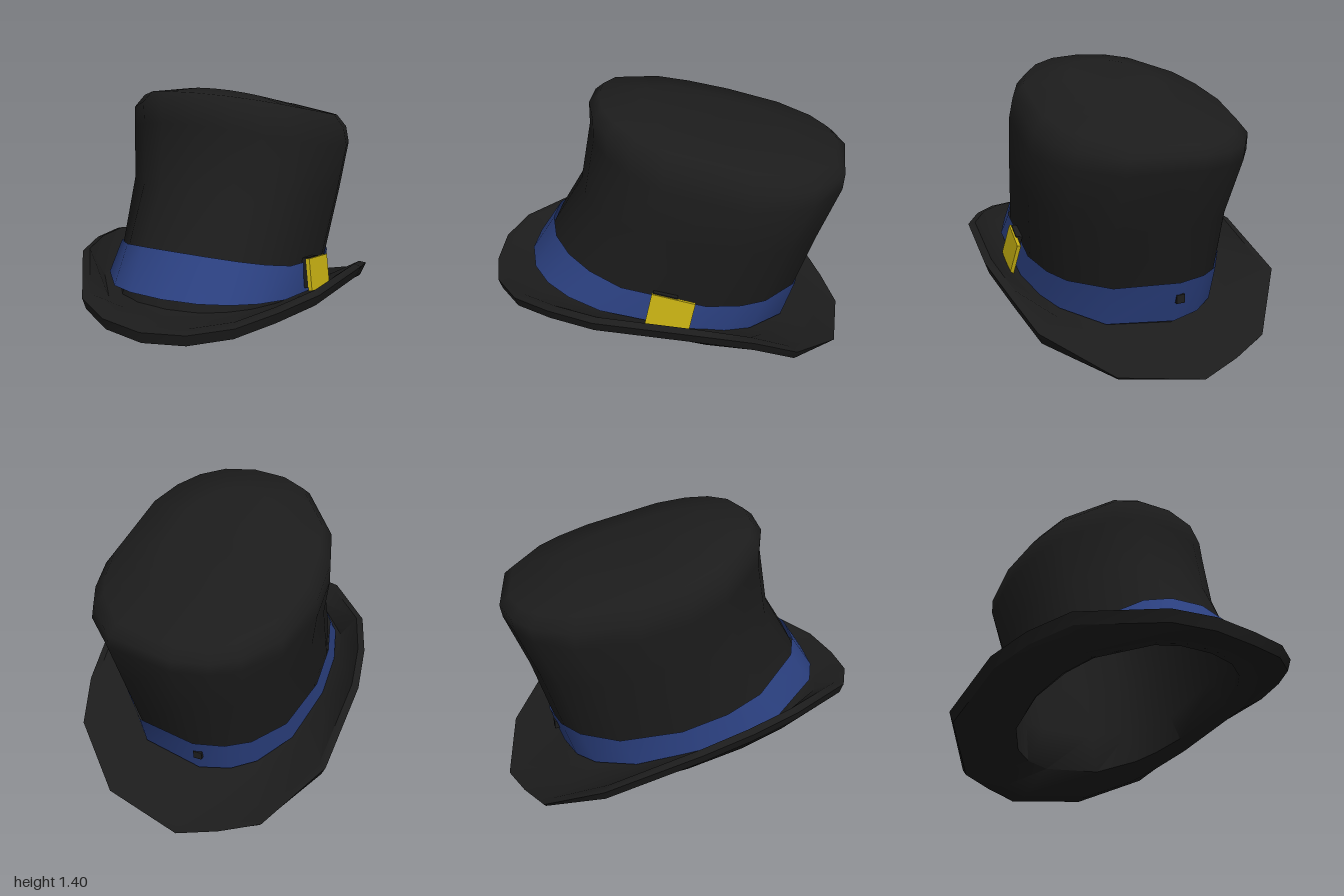
import * as THREE from 'three';
import { toCreasedNormals } from 'three/addons/utils/BufferGeometryUtils.js';

// Brim edge, counter-clockwise from the front towards +x: [x, y, z]
const RIM = [
  [0.02, 0.40, 0.99], [0.24, 0.41, 0.95], [0.43, 0.43, 0.83], [0.57, 0.455, 0.64], [0.69, 0.47, 0.4],
  [0.75, 0.43, -0.15], [0.71, 0.35, -0.42], [0.64, 0.23, -0.65], [0.35, 0.065, -0.91], [-0.07, 0.01, -1],
  [-0.28, 0.05, -0.94], [-0.48, 0.1, -0.86], [-0.72, 0.32, -0.58], [-0.75, 0.46, -0.08], [-0.71, 0.5, 0.2],
  [-0.63, 0.52, 0.47], [-0.37, 0.45, 0.87], [-0.19, 0.42, 0.97],
];
const ANGLES = RIM.map(([x, , z]) => Math.atan2(x / 0.75, z));

const round = (v) => Math.sign(v) * Math.abs(v) ** 0.88;

// Slightly squared oval ring; heights are given at front, sides and back
function ring(cx, halfWidth, front, back, [yFront, ySide, yBack]) {
  return ANGLES.map((a) => {
    const s = round(Math.sin(a)), c = round(Math.cos(a));
    return [
      cx + halfWidth * s,
      ySide + (yFront - yBack) / 2 * c + ((yFront + yBack) / 2 - ySide) * c * c,
      (front + back) / 2 + (front - back) / 2 * c,
    ];
  });
}

const point = (x, y, z) => ANGLES.map(() => [x, y, z]);
const same = (p, q) => p.every((v, i) => Math.abs(v - q[i]) < 1e-6);

// Skin a stack of rings, skipping the collapsed triangles at end points
function loft(rings, crease) {
  const pos = [];
  const tri = (a, b, c) => {
    if (!same(a, b) && !same(b, c) && !same(a, c)) pos.push(...a, ...b, ...c);
  };
  for (let k = 0; k < rings.length - 1; k++) {
    const lo = rings[k], hi = rings[k + 1];
    for (let i = 0; i < lo.length; i++) {
      const j = (i + 1) % lo.length;
      tri(lo[i], lo[j], hi[j]);
      tri(lo[i], hi[j], hi[i]);
    }
  }
  const geo = new THREE.BufferGeometry();
  geo.setAttribute('position', new THREE.Float32BufferAttribute(pos, 3));
  return toCreasedNormals(geo, crease);
}

function material(name, color) {
  const m = new THREE.MeshStandardMaterial({ color });
  m.name = name;
  return m;
}

export function createModel() {
  const hat = new THREE.Group();
  hat.name = 'topHat';
  const felt = material('black felt', 0x1c1c1c);
  const ribbon = material('blue ribbon', 0x2b4080);
  ribbon.side = THREE.DoubleSide;
  const gold = material('yellow metal', 0xc4ae12);

  const add = (name, geo, mat) => {
    const mesh = new THREE.Mesh(geo, mat);
    mesh.name = name;
    hat.add(mesh);
    return mesh;
  };

  // Hollow inside of the crown, flowing out into the brim's underside
  const lip = RIM.map(([x, y, z]) => [x * 0.97, y - Math.min(0.06, y * 0.25), z * 0.985]);
  add('lining', loft([
    point(0, 1.22, -0.26),
    ring(0, 0.53, 0.38, -0.89, [1.33, 1.13, 1.04]),
    ring(0.01, 0.515, 0.45, -0.79, [0.94, 0.82, 0.7]),
    ring(0, 0.49, 0.6, -0.69, [0.64, 0.45, 0.39]),
    ring(0, 0.5, 0.7, -0.64, [0.4, 0.305, 0.13]),
    ring(0, 0.6, 0.82, -0.86, [0.37, 0.28, 0.01]),
    lip,
  ], 1.3), felt);

  // Brim: rolled lip, then the dished upper surface in to the crown
  add('brim', loft([
    lip,
    RIM,
    RIM.map(([x, y, z]) => [x * 0.95, y + 0.012, z * 0.95]),
    ring(0, 0.58, 0.81, -0.76, [0.4, 0.34, 0.11]),
    ring(0, 0.49, 0.72, -0.64, [0.415, 0.32, 0.17]),
  ], 0.9), felt);

  // Crown: leans back, flares upward, with a soft top edge
  add('crown', loft([
    ring(0, 0.505, 0.74, -0.655, [0.41, 0.3, 0.15]),
    ring(0, 0.52, 0.64, -0.735, [0.67, 0.46, 0.4]),
    ring(0.02, 0.54, 0.48, -0.82, [0.94, 0.82, 0.7]),
    ring(0.01, 0.568, 0.42, -0.93, [1.26, 1.06, 1.01]),
    ring(0, 0.555, 0.42, -0.94, [1.37, 1.16, 1.08]),
    ring(0, 0.5, 0.37, -0.89, [1.41, 1.235, 1.12]),
    ring(0, 0.27, 0.16, -0.6, [1.4, 1.285, 1.215]),
    point(0, 1.285, -0.26),
  ], 1.1), felt);

  // Ribbon band around the foot of the crown
  add('band', loft([
    ring(0, 0.545, 0.78, -0.68, [0.48, 0.335, 0.175]),
    ring(0, 0.53, 0.65, -0.745, [0.68, 0.465, 0.405]),
  ], 0.7), ribbon);

  // Small nick at the back of the band
  const nick = add('bandNick', new THREE.BoxGeometry(0.045, 0.045, 0.03), felt);
  nick.position.set(-0.08, 0.31, -0.71);

  // Buckle on the left side, with a dark pad behind it
  const buckle = add('buckle', new THREE.BoxGeometry(0.02, 0.17, 0.23), gold);
  buckle.position.set(0.557, 0.425, 0.01);
  buckle.rotation.set(-0.2, -0.12, 0.2);
  const pad = add('bucklePad', new THREE.BoxGeometry(0.035, 0.16, 0.13), felt);
  pad.position.set(0.532, 0.44, 0.05);
  pad.rotation.copy(buckle.rotation);

  return hat;
}
